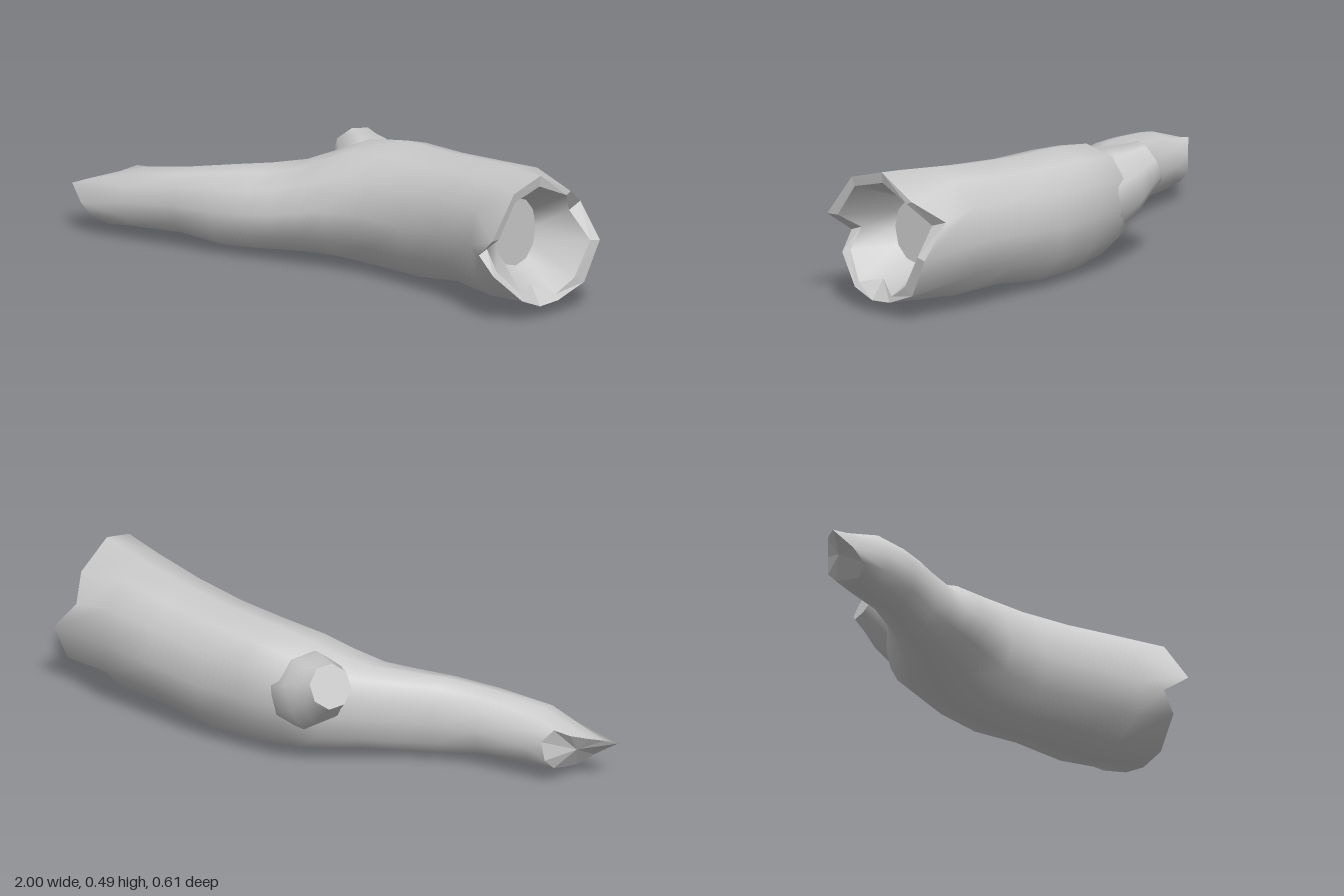
import * as THREE from 'three';

const SIDES = 12;

// Skin a list of closed rings (each SIDES points [x, y, z]) into one smooth surface.
function loft(rings) {
  const index = [];
  for (let i = 0; i < rings.length - 1; i++) {
    for (let k = 0; k < SIDES; k++) {
      const n = (k + 1) % SIDES;
      const a = i * SIDES + k, b = i * SIDES + n;
      index.push(a, b, a + SIDES, b, b + SIDES, a + SIDES);
    }
  }
  const geometry = new THREE.BufferGeometry();
  geometry.setAttribute('position', new THREE.Float32BufferAttribute(rings.flat(2), 3));
  geometry.setIndex(index);
  geometry.computeVertexNormals();
  return geometry;
}

// Slightly squared oval ring at x, fitted between height and depth limits;
// lean slides its crest along z.
function oval([x, y0, y1, z0, z1, lean = 0]) {
  const soft = (v) => Math.sign(v) * Math.abs(v) ** 0.94;
  return Array.from({ length: SIDES }, (_, k) => {
    const t = (k / SIDES) * Math.PI * 2;
    return [
      x,
      (y0 + y1) / 2 + ((y1 - y0) / 2) * soft(Math.cos(t)),
      (z0 + z1) / 2 + ((z1 - z0) / 2) * soft(Math.sin(t)) + lean * Math.max(0, Math.cos(t)),
    ];
  });
}

// The mean point of a ring, repeated, so a loft can close the ring.
function centreOf(ring) {
  const c = [0, 1, 2].map((j) => ring.reduce((s, p) => s + p[j], 0) / SIDES);
  return ring.map(() => c);
}

export function createModel() {
  const group = new THREE.Group();
  const smooth = new THREE.MeshStandardMaterial({ color: 0xcccccc });
  const flat = new THREE.MeshStandardMaterial({ color: 0xcccccc, flatShading: true });
  const add = (name, geometry, material, parent = group) => {
    const mesh = new THREE.Mesh(geometry, material);
    mesh.name = name;
    parent.add(mesh);
    return mesh;
  };

  // Slanted, undercut face at the thin end
  const tip = [
    [-0.88, 0.19, 0.14], [-0.93, 0.174, 0.185], [-0.965, 0.163, 0.22], [-1, 0.15, 0.25],
    [-0.93, 0.1, 0.285], [-0.88, 0.065, 0.288], [-0.84, 0.035, 0.245], [-0.83, 0.045, 0.19],
    [-0.82, 0.06, 0.13], [-0.81, 0.1, 0.09], [-0.8, 0.17, 0.083], [-0.835, 0.212, 0.108],
  ];

  // Jagged outer and inner edges of the broken hollow end
  const rimOuter = [
    [0.93, 0.488, 0.075], [0.925, 0.45, 0.205], [0.92, 0.305, 0.31], [0.83, 0.235, 0.275],
    [0.89, 0.17, 0.27], [0.94, 0.075, 0.18], [0.95, 0.043, 0.1], [0.96, 0.05, 0.02],
    [0.98, 0.095, -0.09], [0.995, 0.23, -0.152], [0.895, 0.345, -0.167], [0.945, 0.41, -0.06],
  ];
  const rimInner = [
    [0.925, 0.45, 0.075], [0.92, 0.418, 0.195], [0.915, 0.305, 0.27], [0.83, 0.25, 0.235],
    [0.88, 0.18, 0.243], [0.93, 0.092, 0.17], [0.9, 0.11, 0.09], [0.95, 0.07, 0.02],
    [0.97, 0.115, -0.05], [0.985, 0.235, -0.115], [0.895, 0.325, -0.11], [0.945, 0.4, -0.04],
  ];

  // Trunk limits: x, bottom, top, back, front, lean
  const trunk = [
    [-0.74, 0.034, 0.24, 0.082, 0.297],
    [-0.55, 0.038, 0.27, 0.062, 0.262],
    [-0.4, 0.015, 0.295, 0.018, 0.237, -0.015],
    [-0.28, 0.016, 0.31, -0.055, 0.217, -0.03],
    [-0.18, 0.02, 0.328, -0.125, 0.198, -0.045],
    [-0.08, 0.02, 0.37, -0.215, 0.18, -0.05],
    [0.02, 0.013, 0.415, -0.262, 0.155, -0.05],
    [0.18, 0, 0.438, -0.267, 0.125, -0.03],
    [0.36, 0, 0.442, -0.262, 0.14, -0.01],
    [0.56, 0.028, 0.457, -0.242, 0.175],
    [0.76, 0.024, 0.477, -0.212, 0.24],
  ].map(oval);

  add('trunk', loft([tip, ...trunk, rimOuter]), smooth);
  add('tipCut', loft([centreOf(tip), tip]), flat);

  // Shallow hollow in the thick end
  const floor = oval([0.78, 0.14, 0.373, -0.07, 0.13]);
  add('rim', loft([rimOuter, rimInner]), flat);
  add('hollowWall', loft([rimInner, floor]), smooth);
  add('hollowFloor', loft([floor, centreOf(floor)]), flat);

  // Stump of a side branch on the back, flaring into the trunk
  const stump = new THREE.Group();
  stump.name = 'branchStump';
  stump.position.set(-0.162, 0.335, -0.23);
  stump.quaternion.setFromUnitVectors(
    new THREE.Vector3(0, 1, 0),
    new THREE.Vector3(-0.8, 0.42, -0.42).normalize(),
  );
  group.add(stump);
  const flare = [[0.11, -0.28], [0.138, -0.19], [0.122, -0.11], [0.095, -0.05], [0.078, 0]];
  add('stumpSide', new THREE.LatheGeometry(flare.map((p) => new THREE.Vector2(...p)), 8), smooth, stump);
  add('stumpCut', new THREE.CircleGeometry(0.078, 8).rotateX(-Math.PI / 2), flat, stump);

  return group;
}
